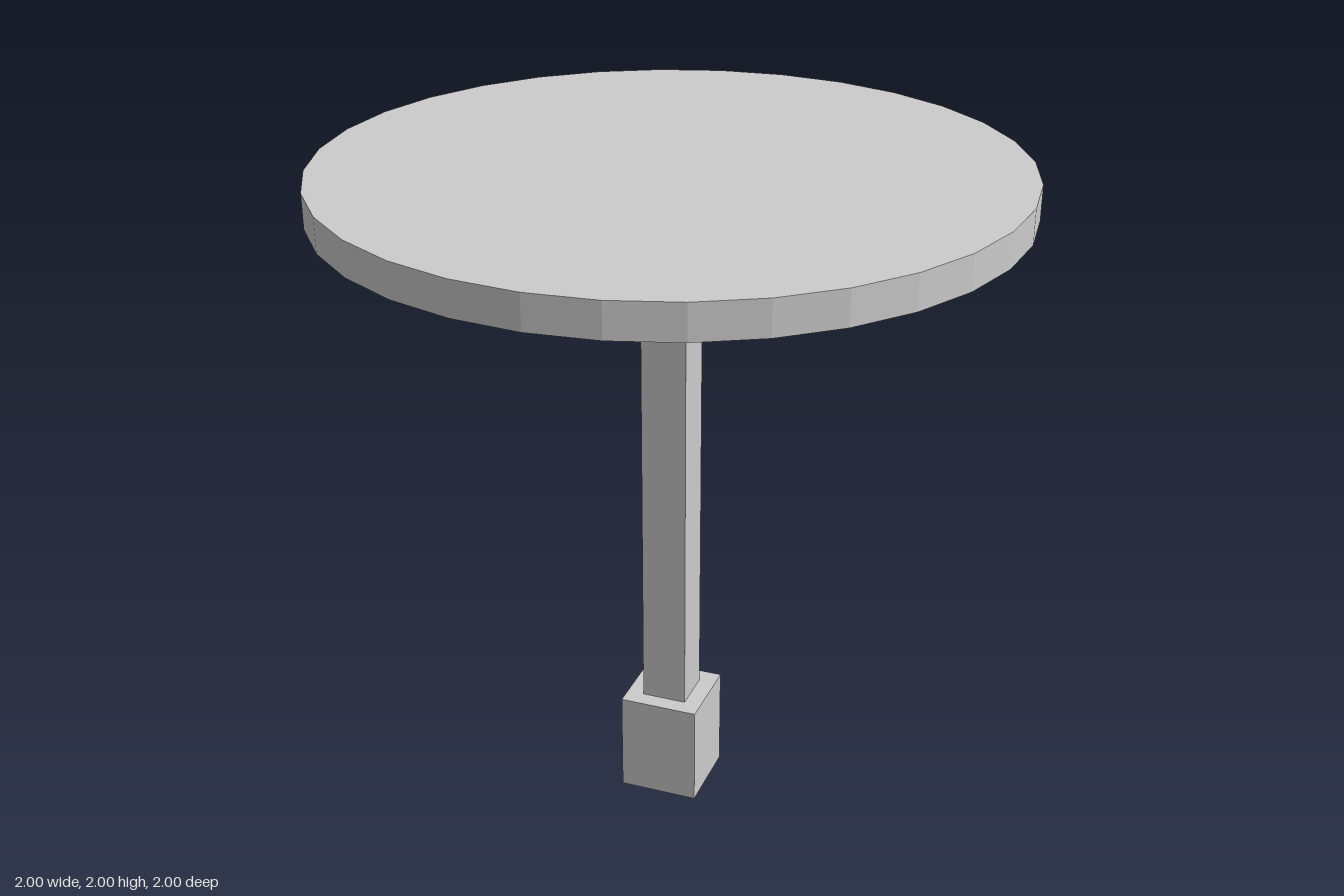
import * as THREE from 'three';

const material = new THREE.MeshStandardMaterial({ color: 0xcccccc, flatShading: true });

// Adds a mesh spanning the heights y0 to y1
function addPart(group, name, geometry, y0, y1) {
  const mesh = new THREE.Mesh(geometry, material);
  mesh.name = name;
  mesh.position.y = (y0 + y1) / 2;
  group.add(mesh);
}

const disc = (radius, height, sides) => new THREE.CylinderGeometry(radius, radius, height, sides);
const post = (width, height) => new THREE.BoxGeometry(width, height, width);

export function createModel() {
  const group = new THREE.Group();
  group.name = 'pedestalTable';

  // Round top with a smaller, coarser support plate beneath it
  addPart(group, 'tableTop', disc(1, 0.1, 32), 1.9, 2);
  addPart(group, 'supportPlate', disc(0.75, 0.09, 12), 1.81, 1.9);

  // Square column standing on a square foot block
  addPart(group, 'column', post(0.136, 1.495), 0.315, 1.81);
  addPart(group, 'footBlock', post(0.24, 0.315), 0, 0.315);

  return group;
}
